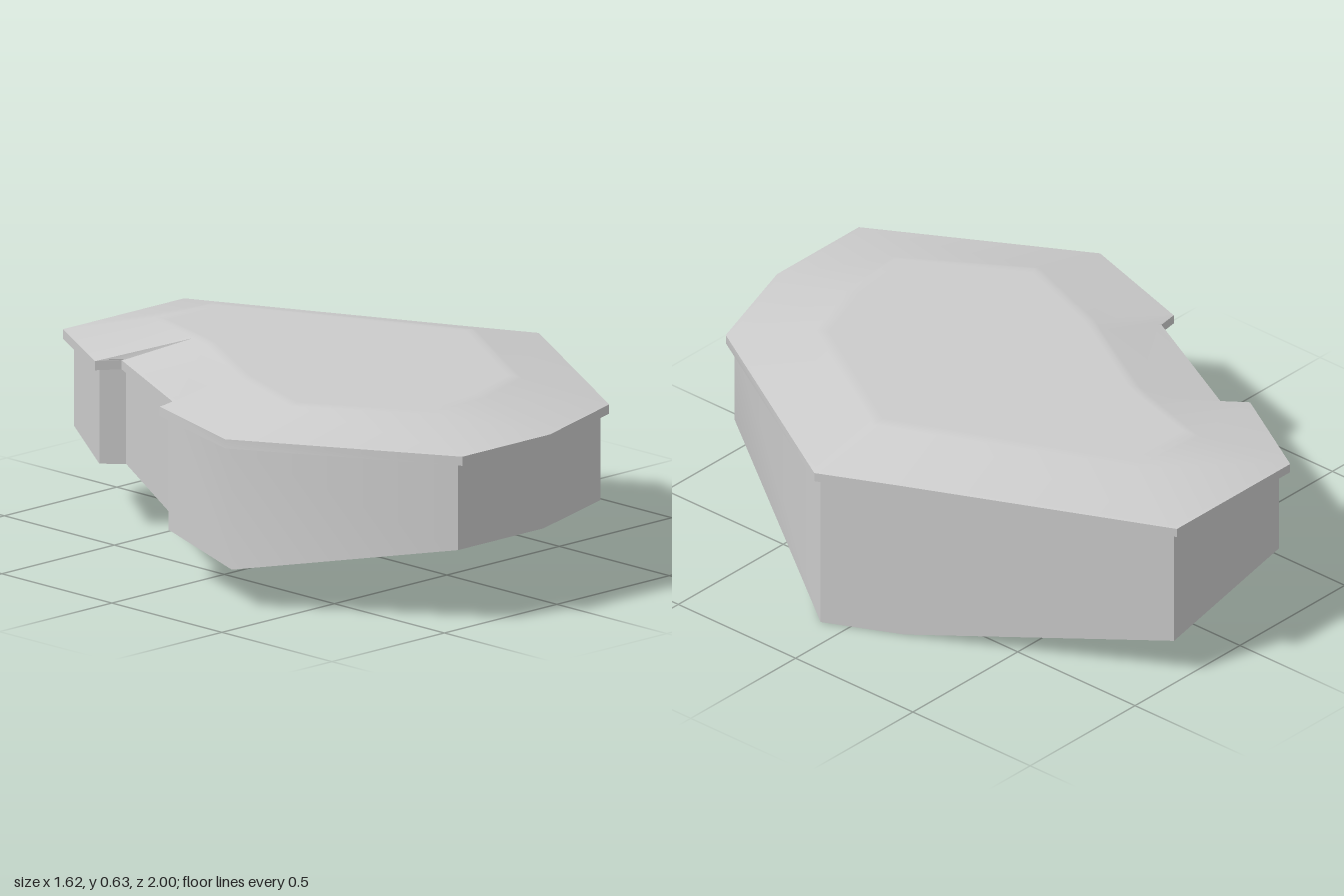
import * as THREE from 'three';
import { toCreasedNormals } from 'three/addons/utils/BufferGeometryUtils.js';

// One row per corner, clockwise from above, starting at the back:
// [rim x, rim z, plateau x, plateau z, wall x, wall z, wall bottom y]
const CORNERS = [
  [-0.24, -1.0, -0.09, -0.72, -0.22, -0.97, 0.25],
  [0.3, -1.0, 0.15, -0.72, 0.28, -0.97, 0.13],
  [0.69, -0.16, 0.44, -0.1, 0.66, -0.16, 0],
  [0.81, 0.09, 0.52, 0.08, 0.78, 0.09, 0],
  [0.36, 0.87, 0.22, 0.59, 0.34, 0.85, 0.25],
  [-0.03, 1.0, -0.03, 0.68, -0.03, 0.97, 0.25],
  [-0.42, 1.0, -0.27, 0.71, -0.41, 0.97, 0.25],
  [-0.81, 0.32, -0.52, 0.34, -0.78, 0.32, 0.13],
  [-0.68, -0.11, -0.4, 0.0, -0.66, -0.09, 0.16],
  [-0.61, -0.12, -0.37, -0.06, -0.6, -0.09, 0.16],
  [-0.37, -0.6, -0.19, -0.38, -0.35, -0.6, 0.22],
  [-0.44, -0.65, -0.16, -0.46, -0.41, -0.66, 0.22],
];

const RIM_LOW = 0.535, RIM_HIGH = 0.565, TOP = 0.63;
const loop = (fn) => CORNERS.map(fn);

// Skin a stack of closed loops; optionally close the last one with a fan.
function loft(name, loops, crease, capCentre) {
  const pos = [];
  const n = CORNERS.length;
  for (let r = 0; r < loops.length - 1; r++) {
    const a = loops[r], b = loops[r + 1];
    for (let i = 0; i < n; i++) {
      const j = (i + 1) % n;
      pos.push(...a[i], ...b[i], ...b[j], ...a[i], ...b[j], ...a[j]);
    }
  }
  if (capCentre) {
    const last = loops[loops.length - 1];
    for (let i = 0; i < n; i++) pos.push(...capCentre, ...last[(i + 1) % n], ...last[i]);
  }
  const geo = new THREE.BufferGeometry();
  geo.setAttribute('position', new THREE.Float32BufferAttribute(pos, 3));
  const mesh = new THREE.Mesh(
    toCreasedNormals(geo, crease),
    new THREE.MeshStandardMaterial({ color: 0xcccccc, side: THREE.DoubleSide })
  );
  mesh.name = name;
  return mesh;
}

export function createModel() {
  const group = new THREE.Group();
  group.name = 'facetedCover';

  const wallBottom = loop((c) => [c[4], c[6], c[5]]);
  const wallTop = loop((c) => [c[4], RIM_LOW, c[5]]);
  const rimBottom = loop((c) => [c[0], RIM_LOW, c[1]]);
  const rimTop = loop((c) => [c[0], RIM_HIGH, c[1]]);
  // Slope from the rim (t = 0) to the plateau edge (t = 1)
  const slope = (t) => loop((c) => [
    c[0] + (c[2] - c[0]) * t,
    RIM_HIGH + (TOP - RIM_HIGH) * t,
    c[1] + (c[3] - c[1]) * t,
  ]);
  // Plateau loop just inside its edge, to keep the soft crease narrow
  const centre = [-0.03, TOP, 0.1];
  const inner = loop((c) => [
    c[2] + (centre[0] - c[2]) * 0.05, TOP, c[3] + (centre[2] - c[3]) * 0.05,
  ]);

  // Open skirt with an uneven lower edge
  group.add(loft('skirtWall', [wallBottom, wallTop], 0.85));
  // Thin overhanging lip
  group.add(loft('rim', [wallTop, rimBottom, rimTop], 0.85));
  // Sloping border rising to a flat plateau
  group.add(loft('topPlate', [rimTop, slope(0.05), slope(0.94), slope(1), inner], 0.5, centre));

  return group;
}
